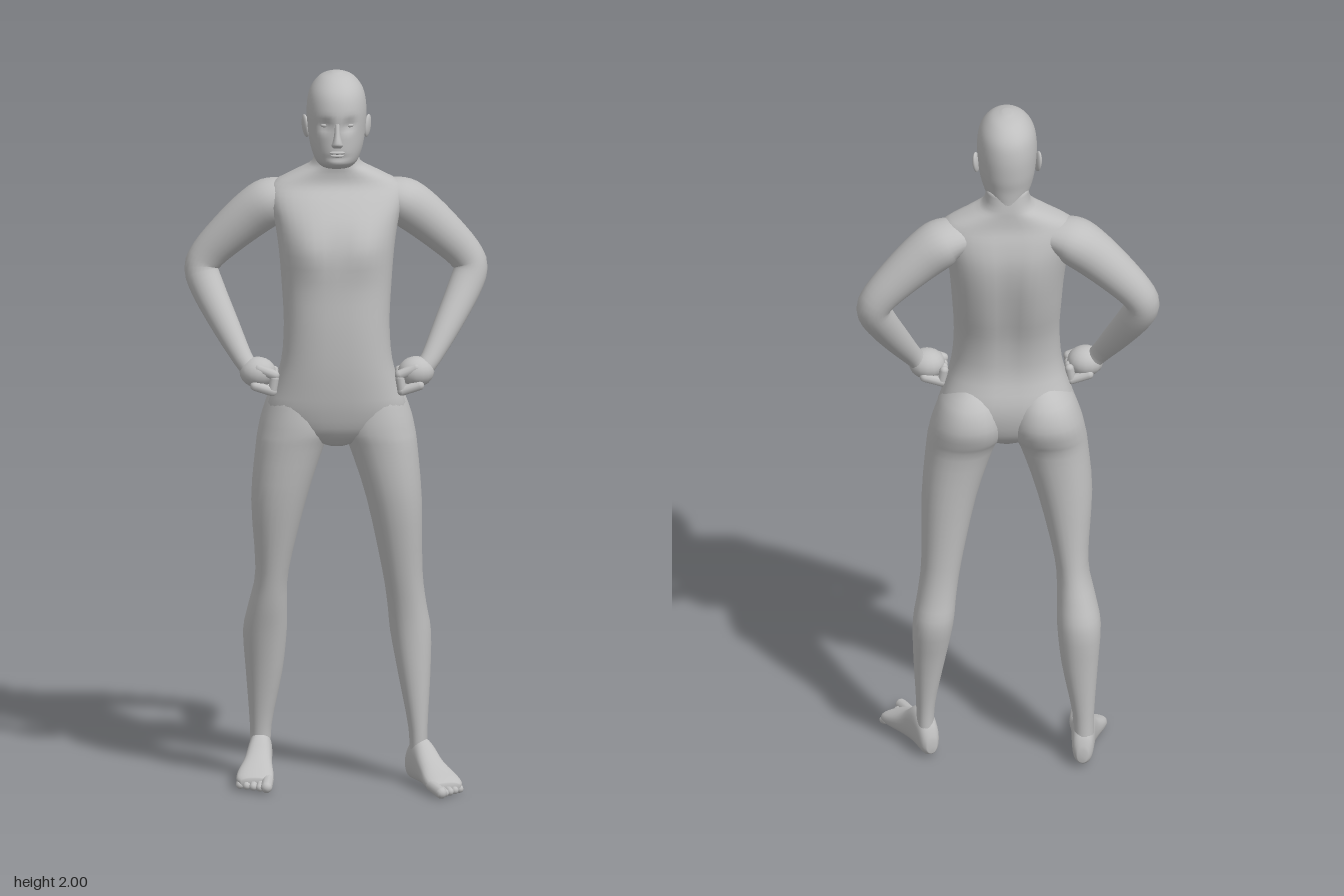
import * as THREE from 'three';

const skin = new THREE.MeshStandardMaterial({ color: 0xbfbfbf });
skin.name = 'plain grey';

const V = (x, y, z) => new THREE.Vector3(x, y, z);
const bump = (d, w) => Math.exp(-(d * d) / (w * w));

// Catmull-Rom blend of rows of numbers
function refine(rows, sub) {
  const out = [], n = rows.length - 1;
  const at = (i) => rows[Math.max(0, Math.min(n, i))];
  for (let i = 0; i < n; i++) {
    for (let s = 0; s < sub; s++) {
      const t = s / sub;
      out.push(rows[i].map((p1, k) => {
        const p0 = at(i - 1)[k], p2 = at(i + 1)[k], p3 = at(i + 2)[k];
        return 0.5 * (2 * p1 + (p2 - p0) * t + (2 * p0 - 5 * p1 + 4 * p2 - p3) * t * t
          + (3 * p1 - p0 - 3 * p2 + p3) * t * t * t);
      }));
    }
  }
  out.push(rows[n]);
  return out;
}

// Closed skin over oval rings [x, y, z, radiusU, radiusV]
function loft(name, rows, { dir, ref = V(0, 0, 1), sides = 24, sub = 3, power = 2, rule } = {}) {
  const rings = refine(rows, sub), pos = [], idx = [];
  const centre = (i) => V(...rings[Math.max(0, Math.min(rings.length - 1, i))].slice(0, 3));
  rings.forEach((r, i) => {
    const d = dir || centre(i + 1).sub(centre(i - 1)).normalize();
    const u = d.clone().cross(ref).normalize(), v = u.clone().cross(d);
    for (let j = 0; j < sides; j++) {
      const t = (j / sides) * Math.PI * 2, c = Math.cos(t), s = Math.sin(t);
      const p = centre(i)
        .addScaledVector(u, r[3] * Math.sign(c) * Math.abs(c) ** (2 / power))
        .addScaledVector(v, r[4] * Math.sign(s) * Math.abs(s) ** (2 / power));
      if (rule) rule(p);
      pos.push(p.x, p.y, p.z);
    }
  });
  const last = rings.length - 1, base = rings.length * sides;
  pos.push(...centre(0).toArray(), ...centre(last).toArray());
  for (let j = 0; j < sides; j++) {
    const k = (j + 1) % sides;
    for (let i = 0; i < last; i++) {
      const a = i * sides + j, b = i * sides + k;
      idx.push(a, a + sides, b, b, a + sides, b + sides);
    }
    idx.push(base, j, k, base + 1, last * sides + k, last * sides + j);
  }
  const g = new THREE.BufferGeometry();
  g.setAttribute('position', new THREE.Float32BufferAttribute(pos, 3));
  g.setIndex(idx);
  g.computeVertexNormals();
  const m = new THREE.Mesh(g, skin);
  m.name = name;
  return m;
}

// Horizontal ring from height, left/right and front/back limits
const slab = (y, x0, x1, zf, zb) => [(x0 + x1) / 2, y, (zf + zb) / 2, Math.abs(x1 - x0) / 2, (zf - zb) / 2];
const UP = V(0, 1, 0);

function blob(name, x, y, z, rx, ry, rz) {
  const m = new THREE.Mesh(new THREE.SphereGeometry(1, 16, 12), skin);
  m.name = name;
  m.position.set(x, y, z);
  m.scale.set(rx, ry, rz);
  return m;
}

function capsule(name, from, to, r) {
  const d = to.clone().sub(from);
  const m = new THREE.Mesh(new THREE.CapsuleGeometry(r, d.length(), 4, 10), skin);
  m.name = name;
  m.position.copy(from).addScaledVector(d, 0.5);
  m.quaternion.setFromUnitVectors(UP, d.normalize());
  return m;
}

function makeTorso() {
  const rows = [
    [0.96, 0.03, 0.03, -0.05], [1.0, 0.15, 0.07, -0.1], [1.06, 0.19, 0.09, -0.12],
    [1.12, 0.175, 0.1, -0.12], [1.2, 0.152, 0.108, -0.1], [1.3, 0.145, 0.11, -0.11],
    [1.4, 0.15, 0.106, -0.14], [1.5, 0.158, 0.103, -0.163], [1.58, 0.17, 0.078, -0.168],
    [1.64, 0.185, 0.035, -0.155], [1.68, 0.175, 0.0, -0.14], [1.715, 0.11, -0.004, -0.135],
    [1.74, 0.066, 0.0, -0.133], [1.79, 0.058, 0.0, -0.125],
  ].map(([y, w, f, b]) => slab(y, -w, w, f, b));
  return loft('torso', rows, {
    dir: UP, sides: 40, power: 2.4,
    rule(p) {
      // chest muscles in front, spine groove behind
      if (p.z > 0) p.z += 0.014 * bump(Math.abs(p.x) - 0.075, 0.05) * bump(p.y - 1.52, 0.06);
      if (p.z < -0.06) p.z += 0.018 * bump(p.x, 0.035) * bump(p.y - 1.42, 0.2);
    },
  });
}

function makeHead() {
  const head = new THREE.Group();
  head.name = 'head';
  const rows = [
    [1.735, 0.045, 0.02, -0.12], [1.752, 0.056, 0.072, -0.128], [1.77, 0.064, 0.086, -0.13],
    [1.8, 0.073, 0.088, -0.133], [1.84, 0.079, 0.088, -0.14], [1.9, 0.082, 0.09, -0.142],
    [1.95, 0.073, 0.074, -0.13], [1.985, 0.047, 0.035, -0.095], [2.0, 0.012, -0.01, -0.045],
  ].map(([y, w, f, b]) => slab(y, -w, w, f, b));
  head.add(loft('skull', rows, {
    dir: UP, sides: 48, sub: 5, power: 2.1,
    rule(p) {
      // eye sockets and the dip under the lower lip
      if (p.z < 0.03) return;
      p.z -= 0.015 * bump(Math.abs(p.x) - 0.032, 0.018) * bump(p.y - 1.868, 0.016);
      p.z -= 0.006 * bump(p.x, 0.03) * bump(p.y - 1.778, 0.008);
    },
  }));
  head.add(loft('nose', [
    [0, 1.808, 0.086, 0.012, 0.008], [0, 1.816, 0.092, 0.016, 0.016], [0, 1.825, 0.092, 0.013, 0.019],
    [0, 1.85, 0.087, 0.008, 0.013], [0, 1.882, 0.082, 0.007, 0.005],
  ], { dir: UP, sides: 12 }));
  head.add(blob('upperLip', 0, 1.794, 0.086, 0.022, 0.005, 0.007));
  head.add(blob('lowerLip', 0, 1.785, 0.084, 0.019, 0.005, 0.007));
  for (const s of [1, -1]) {
    head.add(blob('eye', s * 0.032, 1.867, 0.062, 0.014, 0.007, 0.009));
    const ear = blob('ear', s * 0.085, 1.845, -0.035, 0.008, 0.032, 0.019);
    ear.rotation.set(-0.15, s * -0.35, s * -0.12);
    head.add(ear);
  }
  return head;
}

function makeArm(s) {
  const arm = new THREE.Group();
  arm.name = s > 0 ? 'leftArm' : 'rightArm';
  arm.add(loft('armSkin', [
    [0.1, 1.645, -0.08, 0.035, 0.05], [0.155, 1.635, -0.085, 0.055, 0.072], [0.19, 1.618, -0.09, 0.066, 0.077],
    [0.24, 1.58, -0.097, 0.064, 0.068], [0.3, 1.525, -0.106, 0.057, 0.058], [0.35, 1.472, -0.113, 0.05, 0.05],
    [0.369, 1.43, -0.11, 0.047, 0.047], [0.35, 1.375, -0.085, 0.046, 0.044], [0.303, 1.285, -0.03, 0.038, 0.037],
    [0.258, 1.205, 0.02, 0.028, 0.028], [0.235, 1.175, 0.032, 0.026, 0.03],
  ].map(([x, ...r]) => [s * x, ...r])));
  // fist resting on the hip
  arm.add(blob('palm', s * 0.217, 1.17, 0.037, 0.05, 0.042, 0.048));
  for (let i = 0; i < 4; i++) {
    const z = 0.072 - i * 0.024, y = 1.128 + i * 0.003;
    arm.add(capsule('finger', V(s * 0.225, y + 0.01, z), V(s * 0.178, y - 0.005, z), 0.0135));
    arm.add(capsule('fingertip', V(s * 0.178, y - 0.005, z), V(s * 0.172, y + 0.03, z), 0.0125));
  }
  arm.add(capsule('thumb', V(s * 0.215, 1.185, 0.068), V(s * 0.172, 1.168, 0.07), 0.014));
  return arm;
}

// Foot pointing along its own z, heel at the origin
function makeFoot(s) {
  const foot = new THREE.Group();
  foot.name = 'foot';
  foot.add(loft('footSkin', [
    [0, 0.035, 0.0, 0.014, 0.02], [0, 0.05, 0.015, 0.027, 0.045], [0, 0.065, 0.05, 0.032, 0.06],
    [0, 0.064, 0.09, 0.034, 0.059], [s * 0.003, 0.046, 0.135, 0.04, 0.04], [s * 0.006, 0.032, 0.185, 0.05, 0.027],
    [s * 0.006, 0.024, 0.222, 0.05, 0.019], [s * 0.004, 0.02, 0.24, 0.038, 0.012],
  ], { dir: V(0, 0, 1), ref: UP, power: 2.3 }));
  for (let i = 0; i < 5; i++) {
    const x = s * (-0.03 + i * 0.019), tip = (i ? 0.272 : 0.278) - i * 0.011, r = i ? 0.011 : 0.016;
    foot.add(capsule('toe', V(x, r + 0.008, 0.21), V(x, r, tip), r));
  }
  return foot;
}

function makeLeg(s, shin, heel, turn) {
  const leg = new THREE.Group();
  leg.name = s > 0 ? 'leftLeg' : 'rightLeg';
  const thigh = [
    [1.16, 0.06, 0.13, 0.04, -0.08], [1.11, 0.025, 0.178, 0.07, -0.138], [1.05, 0.008, 0.203, 0.08, -0.157],
    [1.0, 0.01, 0.215, 0.082, -0.145], [0.95, 0.035, 0.222, 0.078, -0.128], [0.8, 0.083, 0.234, 0.063, -0.122],
  ];
  const rows = [...thigh, ...shin].reverse().map(([y, a, b, f, k]) => slab(y, s * a, s * b, f, k));
  leg.add(loft('legSkin', rows, { dir: UP, sides: 28, power: 2.15 }));
  const foot = makeFoot(s);
  foot.position.set(...heel);
  foot.rotation.y = turn;
  leg.add(foot);
  return leg;
}

export function createModel() {
  const figure = new THREE.Group();
  figure.name = 'standingFigure';
  figure.add(makeTorso(), makeHead(), makeArm(1), makeArm(-1));
  // left leg stands forward with the foot turned out
  figure.add(makeLeg(1, [
    [0.6, 0.125, 0.236, 0.02, -0.12], [0.5, 0.14, 0.247, 0.0, -0.13], [0.42, 0.148, 0.26, -0.008, -0.143],
    [0.3, 0.17, 0.258, -0.01, -0.117], [0.15, 0.198, 0.25, -0.012, -0.095], [0.06, 0.2, 0.25, -0.015, -0.095],
  ], [0.208, 0, -0.102], 0.38));
  // right leg stands further back
  figure.add(makeLeg(-1, [
    [0.6, 0.13, 0.222, 0.02, -0.13], [0.5, 0.135, 0.24, -0.002, -0.155], [0.42, 0.135, 0.255, -0.025, -0.177],
    [0.3, 0.147, 0.247, -0.055, -0.17], [0.15, 0.176, 0.236, -0.083, -0.162], [0.06, 0.178, 0.236, -0.085, -0.165],
  ], [-0.202, 0.004, -0.175], -0.08));
  return figure;
}
